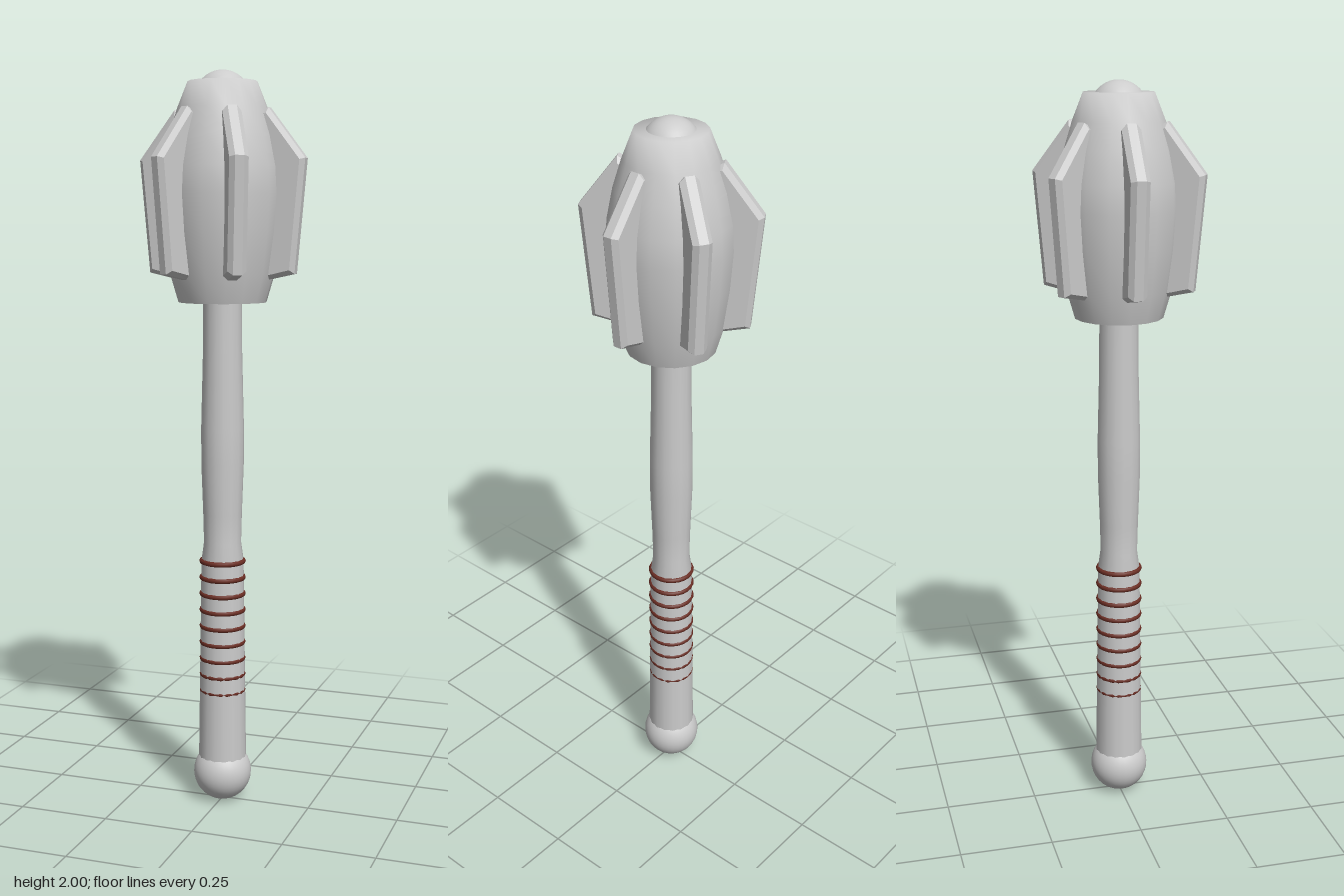
import * as THREE from 'three';

const SIDES = 16;

export function createModel() {
  const model = new THREE.Group();
  const grey = new THREE.MeshStandardMaterial({ color: 0xcccccc });
  const red = new THREE.MeshStandardMaterial({ color: 0x6b2e24 });

  const add = (name, geometry, material = grey, y = 0) => {
    const mesh = new THREE.Mesh(geometry, material);
    mesh.name = name;
    mesh.position.y = y;
    model.add(mesh);
    return mesh;
  };
  const lathe = (profile) =>
    new THREE.LatheGeometry(profile.map(([r, y]) => new THREE.Vector2(r, y)), SIDES);

  // Pommel ball
  add('pommel', new THREE.SphereGeometry(0.08, 32, 20), grey, 0.085);

  // Shaft: thick grip, narrow waist, gentle swell below the head
  add('shaft', lathe([
    [0.066, 0.1], [0.066, 0.13], [0.063, 0.34], [0.058, 0.69], [0.051, 0.74],
    [0.053, 0.82], [0.058, 0.96], [0.058, 1.06], [0.053, 1.26], [0.052, 1.42],
  ]));

  // Grip rings, sinking into the widening grip towards the bottom
  for (let i = 0; i < 9; i++) {
    const ring = new THREE.TorusGeometry(0.057, 0.007, 8, 24).rotateX(Math.PI / 2);
    add('gripRing', ring, red, 0.687 - i * 0.0457);
  }

  // Head: barrel with flat ends
  add('head', lathe([
    [0, 1.395], [0.118, 1.395], [0.118, 1.395], [0.14, 1.47], [0.155, 1.58],
    [0.162, 1.68], [0.158, 1.75], [0.142, 1.83], [0.12, 1.9], [0.092, 1.97], [0, 1.97],
  ]));

  // Domed cap on top
  add('cap', new THREE.SphereGeometry(0.075, 32, 20), grey, 1.925);

  // Six bevelled flanges around the head
  const outline = new THREE.Shape([
    [0.125, 1.455], [0.203, 1.472], [0.23, 1.77], [0.13, 1.9], [0.11, 1.89],
  ].map(([x, y]) => new THREE.Vector2(x, y)));
  const flange = new THREE.ExtrudeGeometry(outline, {
    depth: 0.024, bevelEnabled: true, bevelThickness: 0.013,
    bevelSize: 0.012, bevelOffset: -0.012, bevelSegments: 1,
  }).translate(0, 0, -0.012);
  for (let i = 0; i < 6; i++) {
    add('flange', flange).rotation.y = (i * Math.PI) / 3;
  }

  return model;
}
